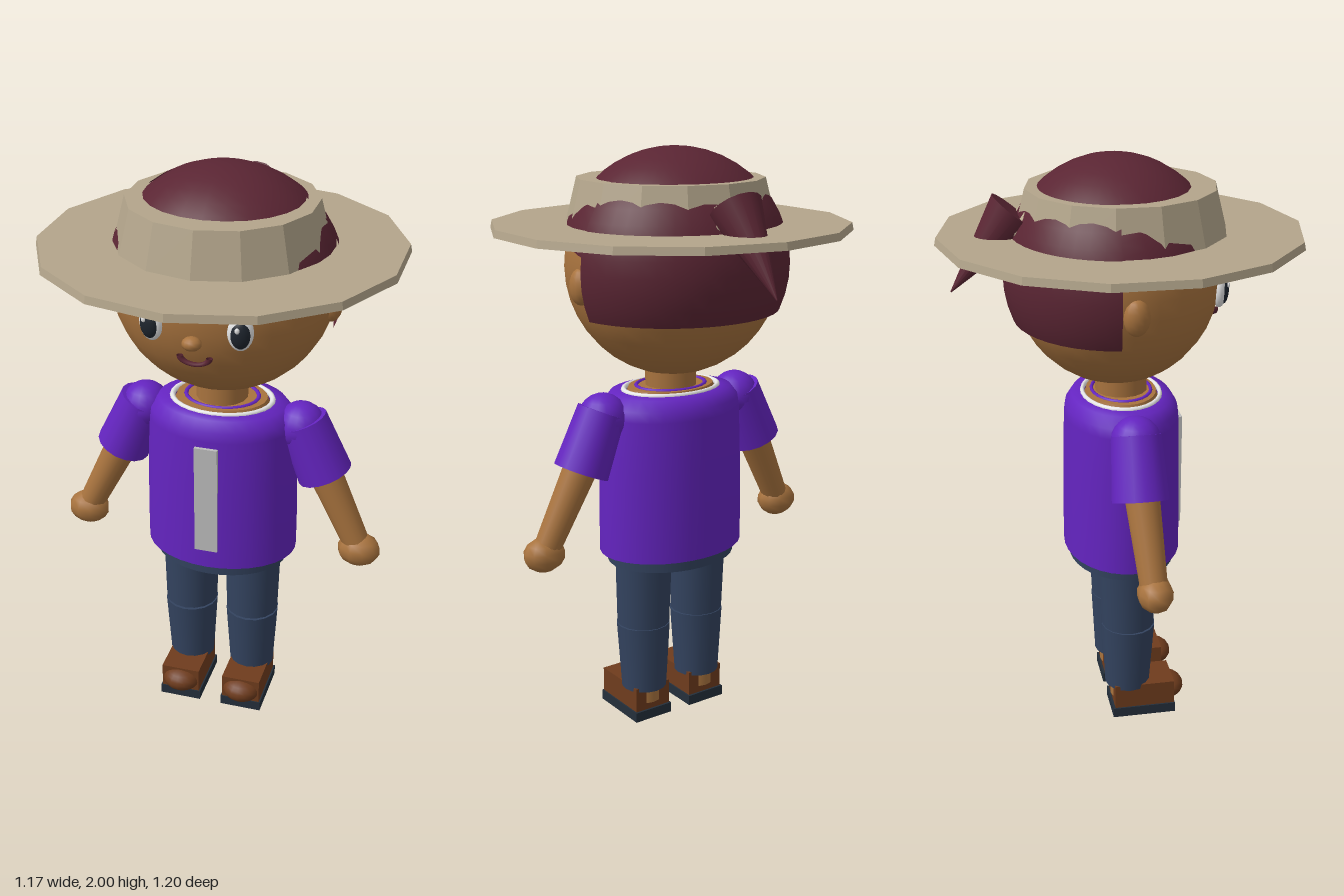
import * as THREE from 'three';

const mat = (name, color, opts = {}) => {
  const m = new THREE.MeshStandardMaterial({ color, ...opts });
  m.name = name;
  return m;
};

export function createModel() {
  const M = {
    skin: mat('skin', 0xa8733e),
    hair: mat('hair', 0x5a2533, { side: THREE.DoubleSide }),
    straw: mat('straw', 0xb3a58b, { flatShading: true }),
    shirt: mat('shirt', 0x6424c0, { side: THREE.DoubleSide }),
    denim: mat('denim', 0x33435f, { side: THREE.DoubleSide }),
    grey: mat('stripe grey', 0xbcbcbc),
    leather: mat('shoe leather', 0x6f3c1d),
    sole: mat('sole', 0x242f3b),
    white: mat('eye white', 0xe6e6e6),
    black: mat('pupil black', 0x1e252e),
  };
  const model = new THREE.Group();
  model.name = 'figure';

  const add = (name, geo, material, x = 0, y = 0, z = 0, parent = model) => {
    const mesh = new THREE.Mesh(geo, material);
    mesh.name = name;
    mesh.position.set(x, y, z);
    parent.add(mesh);
    return mesh;
  };
  const ball = (rx, ry, rz, seg = 20) => new THREE.SphereGeometry(1, seg, Math.ceil(seg * 0.7)).scale(rx, ry, rz);
  const box = (w, h, d) => new THREE.BoxGeometry(w, h, d);
  const tube = (rTop, rBottom, h, seg = 16, open = false) => new THREE.CylinderGeometry(rTop, rBottom, h, seg, 1, open);
  // Tapered cylinder running from a (radius ra) down to b (radius rb)
  const limb = (name, a, b, ra, rb, material, parent) => {
    const axis = new THREE.Vector3().subVectors(a, b);
    const mid = new THREE.Vector3().addVectors(a, b).multiplyScalar(0.5);
    const mesh = add(name, tube(ra, rb, axis.length()), material, mid.x, mid.y, mid.z, parent);
    mesh.quaternion.setFromUnitVectors(new THREE.Vector3(0, 1, 0), axis.normalize());
    return mesh;
  };
  const V = (x, y, z) => new THREE.Vector3(x, y, z);

  // Head and neck
  add('head', ball(0.37, 0.37, 0.345, 28), M.skin, 0, 1.62, -0.02);
  add('neck', tube(0.088, 0.088, 0.14), M.skin, 0, 1.23, 0);
  add('nose', ball(0.032, 0.023, 0.028, 12), M.skin, 0, 1.545, 0.337);
  const mouth = add('mouth', new THREE.TorusGeometry(0.048, 0.011, 8, 14, Math.PI), M.hair, 0, 1.488, 0.308);
  mouth.rotation.z = Math.PI;
  mouth.scale.y = 0.55;

  // Hair: a tilted cap and a longer shell at the back
  add('hairCap', new THREE.SphereGeometry(1, 28, 12, 0, Math.PI * 2, 0, 1.41).rotateX(-0.24).scale(0.385, 0.38, 0.36), M.hair, 0, 1.62, -0.02);
  add('hairBack', new THREE.SphereGeometry(1, 20, 14, Math.PI + 0.12, Math.PI - 0.24, 0, 1.98).scale(0.393, 0.38, 0.367), M.hair, 0, 1.62, -0.02);

  // Ponytail with its band
  limb('ponytail', V(0, 1.83, -0.345), V(0, 1.575, -0.555), 0.088, 0.002, M.hair);
  const band = add('hairBand', new THREE.TorusGeometry(0.062, 0.018, 8, 14), M.straw, 0, 1.8, -0.325);
  band.rotation.x = 0.7;

  // Hat: 14-sided brim and tapered crown
  add('hatBrim', tube(0.595, 0.6, 0.025, 14), M.straw, 0, 1.743, 0);
  add('hatCrown', tube(0.31, 0.348, 0.15, 14), M.straw, 0, 1.825, 0);

  // Shirt body, oval in section
  const profile = [[0.266, 0.63], [0.266, 0.75], [0.262, 0.95], [0.256, 1.12], [0.25, 1.155], [0.222, 1.19], [0.18, 1.195]]
    .map(([x, y]) => new THREE.Vector2(x, y));
  add('shirtBody', new THREE.LatheGeometry(profile, 32).scale(1, 1, 0.755), M.shirt);
  add('shirtStripe', box(0.08, 0.4, 0.012), M.grey, 0, 0.9, 0.2);
  const collar = add('collar', new THREE.TorusGeometry(0.173, 0.01, 8, 28).rotateX(Math.PI / 2), M.white, 0, 1.194, 0);
  collar.scale.z = 0.755;
  add('upperChest', tube(0.155, 0.168, 0.03, 28).scale(1, 1, 0.755), M.skin, 0, 1.19, 0);
  const neckline = add('neckline', new THREE.TorusGeometry(0.125, 0.008, 8, 24).rotateX(Math.PI / 2), M.shirt, 0, 1.203, 0);
  neckline.scale.z = 0.8;

  // Waist
  add('waistband', tube(0.238, 0.235, 0.08, 32, true).scale(1, 1, 0.78), M.denim, 0, 0.63, 0);
  add('hips', tube(0.22, 0.22, 0.06, 28).scale(1, 1, 0.77), M.skin, 0, 0.635, 0);

  for (const s of [1, -1]) {
    const side = s > 0 ? 'left' : 'right';

    // Face
    add(side + 'Ear', ball(0.035, 0.06, 0.043, 14), M.skin, s * 0.36, 1.575, -0.015);
    const eye = new THREE.Group();
    eye.name = side + 'Eye';
    eye.position.set(s * 0.143, 1.582, 0.296);
    eye.rotation.y = s * 0.25;
    model.add(eye);
    add('eyeWhite', ball(0.041, 0.06, 0.025, 18), M.white, 0, 0, 0, eye);
    add('pupil', ball(0.032, 0.046, 0.02, 16), M.black, 0, -0.003, 0.011, eye);
    add('eyeGlint', ball(0.008, 0.01, 0.005, 8), M.white, -0.01, 0.018, 0.029, eye);
    const brow = add(side + 'Brow', box(0.08, 0.016, 0.02), M.black, s * 0.137, 1.663, 0.298);
    brow.rotation.set(0, s * 0.4, s * -0.06);

    // Arm
    const arm = new THREE.Group();
    arm.name = side + 'Arm';
    model.add(arm);
    add('shoulder', ball(0.083, 0.083, 0.083, 16), M.shirt, s * 0.275, 1.128, 0, arm);
    limb('sleeve', V(s * 0.28, 1.15, 0), V(s * 0.363, 0.955, 0), 0.083, 0.095, M.shirt, arm);
    limb('forearm', V(s * 0.36, 0.97, 0.005), V(s * 0.487, 0.71, 0.02), 0.058, 0.046, M.skin, arm);
    add('hand', ball(0.075, 0.06, 0.06, 10), M.skin, s * 0.498, 0.685, 0.023, arm);

    // Leg
    const leg = new THREE.Group();
    leg.name = side + 'Leg';
    model.add(leg);
    limb('thigh', V(s * 0.115, 0.64, 0), V(s * 0.115, 0.357, 0.005), 0.101, 0.093, M.denim, leg);
    limb('shin', V(s * 0.115, 0.353, 0.005), V(s * 0.115, 0.11, 0.002), 0.095, 0.08, M.denim, leg);
    add('ankle', tube(0.06, 0.06, 0.08), M.skin, s * 0.115, 0.1, 0, leg);

    // Shoe
    add('shoeUpper', box(0.14, 0.09, 0.215), M.leather, s * 0.115, 0.08, 0.055, leg);
    add('shoeToe', ball(0.068, 0.044, 0.06, 16), M.leather, s * 0.115, 0.075, 0.148, leg);
    add('shoeSole', box(0.15, 0.036, 0.226), M.sole, s * 0.115, 0.018, 0.053, leg);
  }
  return model;
}
